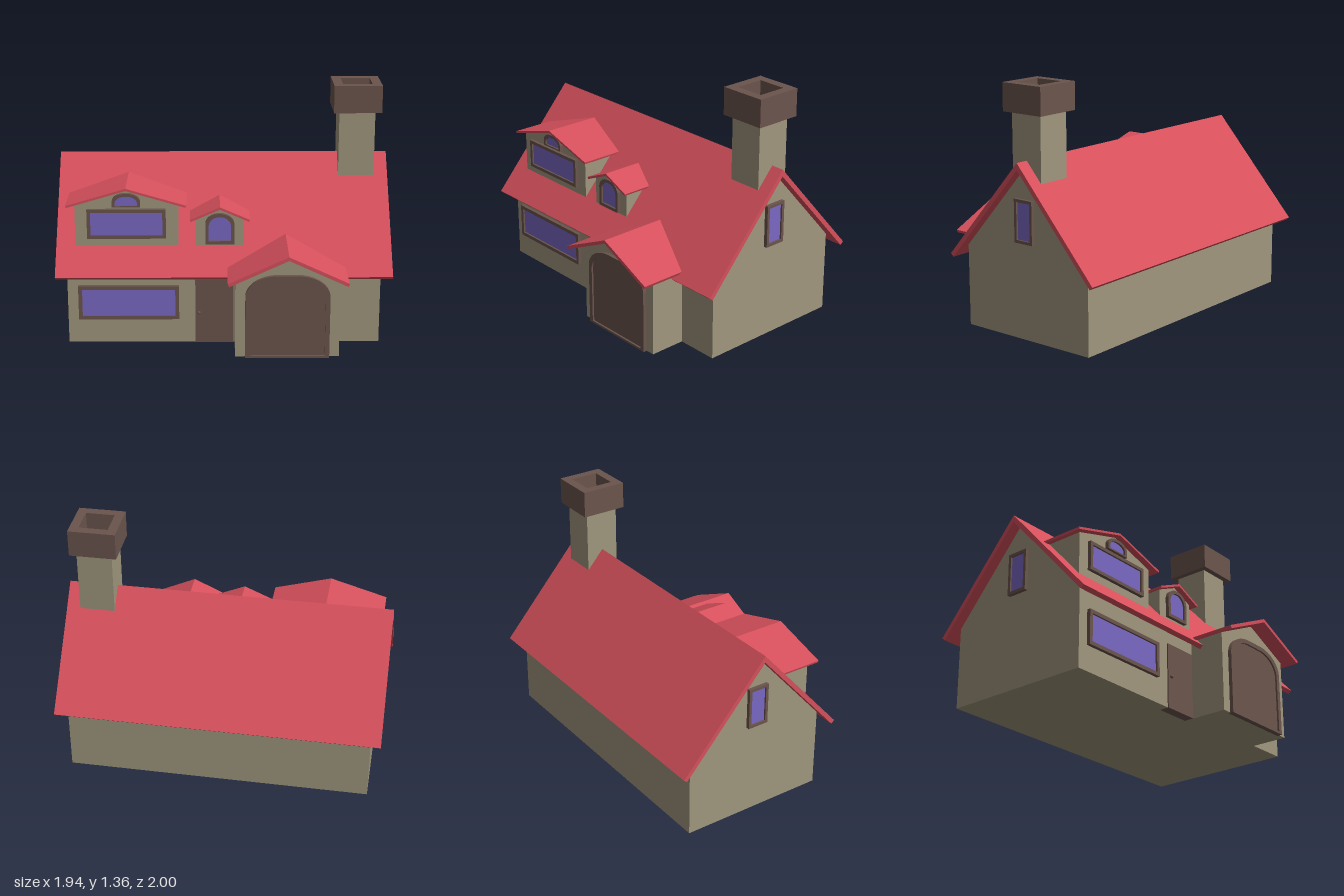
import * as THREE from 'three';

const mat = (color) => new THREE.MeshStandardMaterial({ color, flatShading: true });
const roofMat = mat(0xd6505c);
const wallMat = mat(0xa0977d);
const woodMat = mat(0x6b554d);
const glassMat = mat(0x7a68c4);

// Extrude an outline from z0 to z1
function slab(name, shape, z0, z1, material) {
  const geo = new THREE.ExtrudeGeometry(shape, { depth: z1 - z0, bevelEnabled: false, curveSegments: 8 });
  const mesh = new THREE.Mesh(geo, material);
  mesh.name = name;
  mesh.position.z = z0;
  return mesh;
}

function polygon(points) {
  return new THREE.Shape(points.map(([x, y]) => new THREE.Vector2(x, y)));
}

// Two sloping roof slabs with square-cut eaves
function gableRoof(name, r, z0, z1) {
  const drop = r.ridge - r.eave, len = Math.hypot(r.half, drop);
  const bx = r.half - r.t * drop / len, by = r.eave - r.t * r.half / len;
  const under = r.ridge - r.t * len / r.half;
  return slab(name, polygon([
    [-r.half, r.eave], [-bx, by], [0, under], [bx, by], [r.half, r.eave], [0, r.ridge],
  ]), z0, z1, roofMat);
}

// Five-sided wall block reaching up into its roof
function gableWalls(name, r, half, base, z0, z1) {
  const len = Math.hypot(r.half, r.ridge - r.eave);
  const apex = r.ridge - 0.8 * r.t * len / r.half;
  const top = apex - half * (r.ridge - r.eave) / r.half;
  return slab(name, polygon([[-half, base], [half, base], [half, top], [0, apex], [-half, top]]), z0, z1, wallMat);
}

// Rectangle with optional rounded upper corners
function opening(w, y0, y1, rx, ry) {
  const s = new THREE.Shape(), h = w / 2;
  s.moveTo(-h, y0);
  s.lineTo(h, y0);
  if (rx > 0) {
    s.lineTo(h, y1 - ry);
    s.absellipse(h - rx, y1 - ry, rx, ry, 0, Math.PI / 2, false);
    s.absellipse(-h + rx, y1 - ry, rx, ry, Math.PI / 2, Math.PI, false);
  } else {
    s.lineTo(h, y1);
    s.lineTo(-h, y1);
  }
  s.closePath();
  return s;
}

// Frame with a recessed pane, facing +z and lying on z = 0
function framed(name, w, y0, y1, b, { rx = 0, ry = 0, pane = glassMat, sill = b, depth = 0.02 } = {}) {
  const g = new THREE.Group();
  g.name = name;
  const inner = () => opening(w - 2 * b, y0 + sill, y1 - b, Math.max(0, rx - b), Math.max(0, ry - b * 0.5));
  const frame = opening(w, y0, y1, rx, ry);
  if (sill > 0) {
    frame.holes.push(inner());
    g.add(slab(name + 'Frame', frame, -0.01, depth, woodMat));
  } else {
    // a door frame is a solid backing with a raised rim
    g.add(slab(name + 'Backing', frame, -0.01, depth * 0.4, woodMat));
    const rim = opening(w, y0, y1, rx, ry);
    const hole = opening(w - 2 * b, y0 + 0.012, y1 - b, Math.max(0, rx - b), Math.max(0, ry - b * 0.5));
    rim.holes.push(hole);
    g.add(slab(name + 'Rim', rim, depth * 0.4, depth, woodMat));
  }
  g.add(slab(name + 'Pane', inner(), -0.005, depth * 0.5, pane));
  return g;
}

function at(obj, x, z) {
  obj.position.x += x;
  obj.position.z += z;
  return obj;
}

export function createModel() {
  const model = new THREE.Group();
  model.name = 'cottage';
  const house = new THREE.Group();
  house.name = 'house';
  house.rotation.y = -0.835;
  model.add(house);

  // Main body and roof, running along the house's x axis
  const main = { half: 0.4975, ridge: 0.96, eave: 0.4, t: 0.025 };
  const body = new THREE.Group();
  body.name = 'mainBody';
  body.rotation.y = Math.PI / 2;
  body.add(gableWalls('mainWalls', main, 0.42, 0.002, -0.84, 0.84));
  body.add(gableRoof('mainRoof', main, -0.8975, 0.8975));
  house.add(body);

  // A window in each gable end
  for (const side of [-1, 1]) {
    const w = framed('gableWindow', 0.122, 0.527, 0.76, 0.016);
    w.rotation.y = side * Math.PI / 2;
    w.position.x = side * 0.84;
    house.add(w);
  }

  // Chimney with a hollow cap
  const chimney = new THREE.Group();
  chimney.name = 'chimney';
  chimney.position.x = 0.725;
  const stack = new THREE.Mesh(new THREE.BoxGeometry(0.195, 0.455, 0.195), wallMat);
  stack.name = 'chimneyStack';
  stack.position.y = 0.9825;
  const ring = opening(0.26, -0.13, 0.13, 0, 0);
  ring.holes.push(opening(0.16, -0.08, 0.08, 0, 0));
  const cap = slab('chimneyCap', ring, 0, 0.15, woodMat);
  cap.rotation.x = -Math.PI / 2;
  cap.position.set(0, 1.205, 0);
  chimney.add(stack, cap);
  house.add(chimney);

  // Large dormer with a wide window and a small arched one above
  const big = { half: 0.32, ridge: 0.866, eave: 0.772, t: 0.012 };
  const bigDormer = new THREE.Group();
  bigDormer.name = 'largeDormer';
  bigDormer.position.x = -0.52;
  bigDormer.add(
    gableRoof('largeDormerRoof', big, 0.06, 0.41),
    gableWalls('largeDormerWalls', big, 0.275, 0.5, 0.1, 0.373),
    at(framed('wideWindow', 0.42, 0.583, 0.745, 0.018), 0, 0.373),
    at(framed('atticWindow', 0.15, 0.757, 0.832, 0.016, { rx: 0.065, ry: 0.045, sill: 0.008 }), 0, 0.373),
  );
  house.add(bigDormer);

  // Small dormer with an arched window
  const small = { half: 0.16, ridge: 0.762, eave: 0.692, t: 0.012 };
  const smallDormer = new THREE.Group();
  smallDormer.name = 'smallDormer';
  smallDormer.position.x = -0.022;
  smallDormer.add(
    gableRoof('smallDormerRoof', small, 0.14, 0.408),
    gableWalls('smallDormerWalls', small, 0.13, 0.5, 0.16, 0.373),
    at(framed('archedWindow', 0.155, 0.55, 0.72, 0.018, { rx: 0.075, ry: 0.06 }), 0, 0.373),
  );
  house.add(smallDormer);

  // Porch with the arched front door
  const porchRoof = { half: 0.315, ridge: 0.588, eave: 0.442, t: 0.018 };
  const porch = new THREE.Group();
  porch.name = 'porch';
  porch.position.x = 0.332;
  porch.add(
    gableRoof('porchRoof', porchRoof, 0.3, 0.71),
    gableWalls('porchWalls', porchRoof, 0.275, 0.002, 0.36, 0.622),
    at(framed('frontDoor', 0.445, 0, 0.46, 0.024, { rx: 0.17, ry: 0.12, pane: woodMat, sill: 0 }), 0, 0.622),
  );
  house.add(porch);

  // Wide ground-floor window
  house.add(at(framed('groundWindow', 0.54, 0.14, 0.33, 0.02), -0.512, 0.42));

  // Side door tucked beside the porch, with its knob
  const door = new THREE.Mesh(new THREE.BoxGeometry(0.205, 0.36, 0.055), woodMat);
  door.name = 'sideDoor';
  door.position.set(-0.052, 0.18, 0.399);
  const knob = new THREE.Mesh(new THREE.SphereGeometry(0.009, 10, 8), woodMat);
  knob.name = 'sideDoorKnob';
  knob.position.set(-0.135, 0.175, 0.434);
  house.add(door, knob);

  return model;
}
